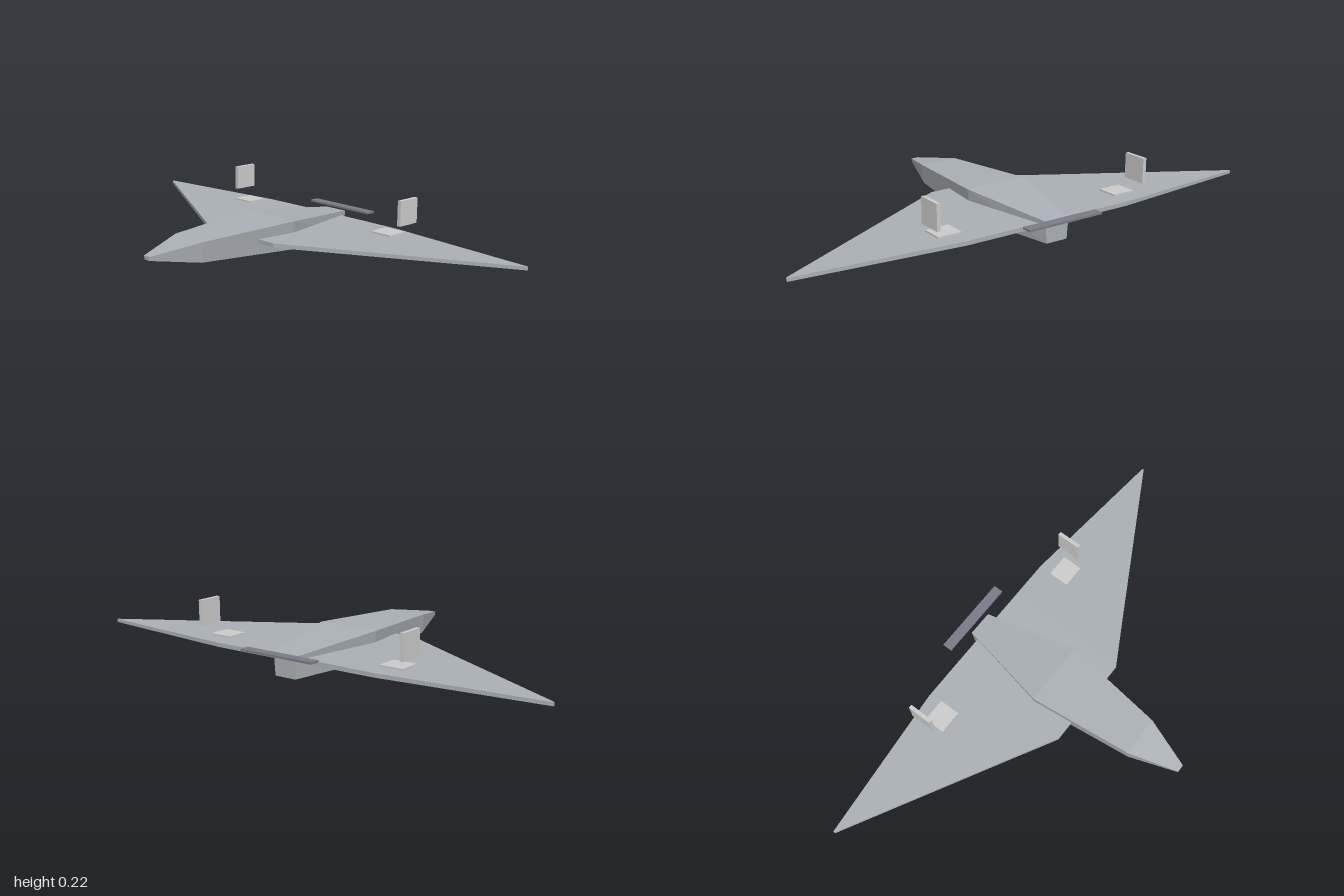
import * as THREE from 'three';

// Joins four-cornered rings into a closed solid; rings run counter-clockwise seen from the last ring.
function loft(rings) {
  const pos = [];
  const quad = (a, b, c, d) => pos.push(...a, ...b, ...c, ...a, ...c, ...d);
  for (let r = 0; r < rings.length - 1; r++) {
    const A = rings[r], B = rings[r + 1];
    for (let i = 0; i < 4; i++) {
      const j = (i + 1) % 4;
      quad(A[i], A[j], B[j], B[i]);
    }
  }
  const first = rings[0], last = rings[rings.length - 1];
  quad(first[3], first[2], first[1], first[0]);
  quad(...last);
  const g = new THREE.BufferGeometry();
  g.setAttribute('position', new THREE.Float32BufferAttribute(pos, 3));
  g.computeVertexNormals();
  return g;
}

export function createModel() {
  const model = new THREE.Group();
  model.name = 'droneAircraft';

  const material = (name, color) => {
    const m = new THREE.MeshStandardMaterial({ color, flatShading: true });
    m.name = name;
    return m;
  };
  const hull = material('hullGrey', 0xaab0b5);
  const panel = material('panelLightGrey', 0xcccccc);
  const dark = material('propellerGrey', 0x7a7b86);

  const add = (name, geometry, mat, x = 0, y = 0, z = 0) => {
    const mesh = new THREE.Mesh(geometry, mat);
    mesh.name = name;
    mesh.position.set(x, y, z);
    model.add(mesh);
  };

  // Fuselage, tail to nose: z, half width at top, half width at bottom, bottom y, top y
  const body = [
    [-0.472, 0.052, 0.046, 0, 0.085],
    [-0.09, 0.133, 0.117, 0, 0.118],
    [0.33, 0.083, 0.073, 0.02, 0.101],
    [0.527, 0.016, 0.014, 0.053, 0.068],
  ];
  add('fuselage', loft(body.map(([z, t, b, y0, y1]) =>
    [[-b, y0, z], [b, y0, z], [t, y1, z], [-t, y1, z]])), hull);

  // Delta wing, root to tip: x, trailing z, leading z, top y; mirrored across the centre
  const half = [
    [0.19, -0.44, 0.077, 0.071],
    [0.36, -0.44, -0.018, 0.07],
    [1, -0.378, -0.372, 0.067],
  ];
  const span = [...half.map(([x, ...s]) => [-x, ...s]).reverse(), ...half];
  add('wing', loft(span.map(([x, zt, zl, y]) =>
    [[x, 0.054, zt], [x, y, zt], [x, y, zl], [x, 0.054, zl]])), hull);

  // Upright fins and control flaps on each side
  for (const [side, s] of [['left', 1], ['right', -1]]) {
    add(side + 'Fin', new THREE.BoxGeometry(0.015, 0.1, 0.1), panel, s * 0.466, 0.17, -0.37);
    add(side + 'Flap', new THREE.BoxGeometry(0.096, 0.007, 0.086), panel, s * 0.399, 0.081, -0.34);
  }

  // Pusher propeller blade
  add('propeller', new THREE.BoxGeometry(0.328, 0.008, 0.04), dark, 0, 0.09, -0.507);

  return model;
}
